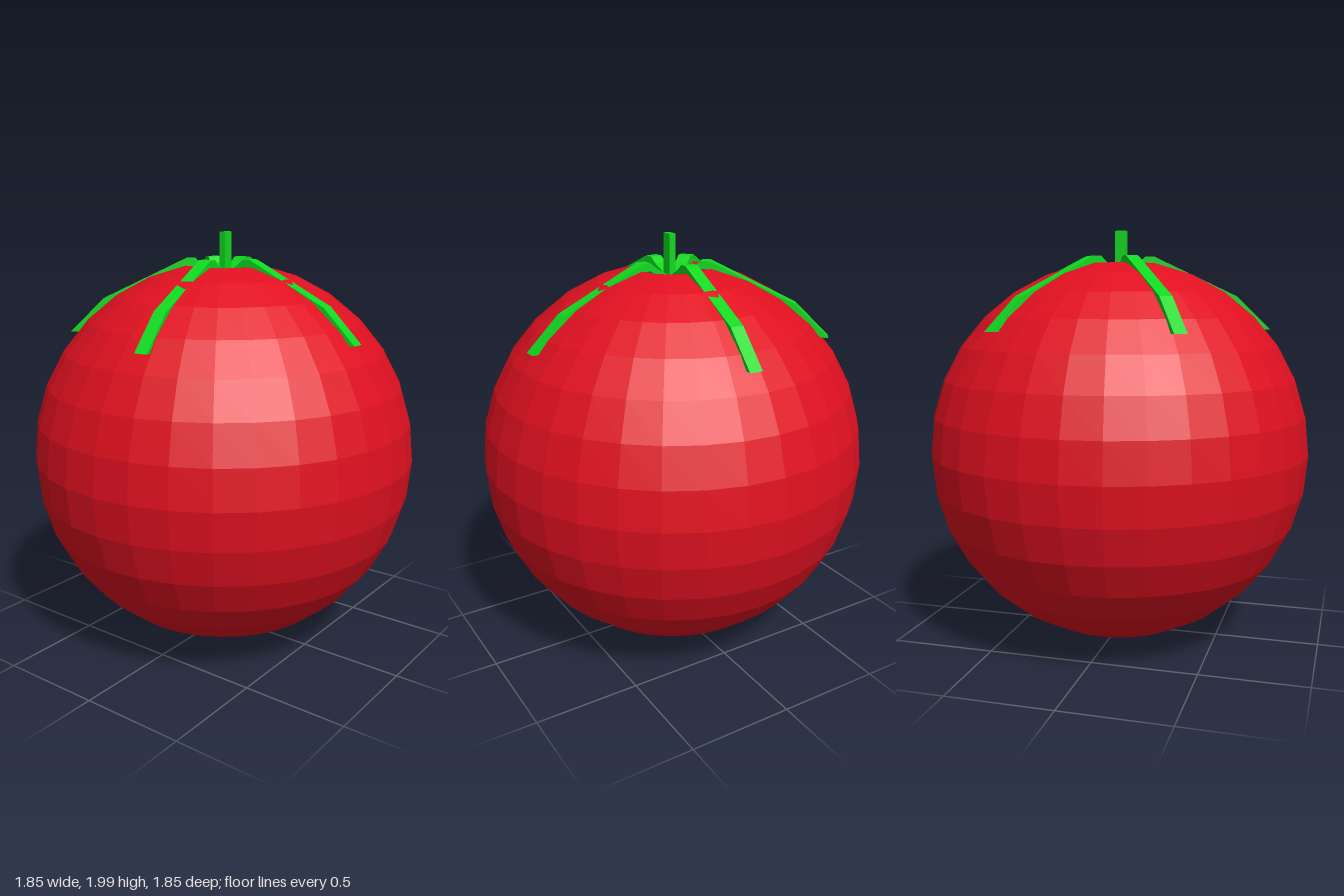
import * as THREE from 'three';

const RED = 0xe01020, GREEN = 0x10d820;
const RADIUS = 0.926, CENTRE_Y = 0.935;

function part(name, geometry, color) {
  const material = new THREE.MeshStandardMaterial({ color, flatShading: true });
  const mesh = new THREE.Mesh(geometry, material);
  mesh.name = name;
  return mesh;
}

// Faceted ball whose top pole is pushed down into a shallow pit
function fruitGeometry() {
  const geometry = new THREE.SphereGeometry(RADIUS, 32, 16).translate(0, CENTRE_Y, 0);
  const pos = geometry.attributes.position;
  for (let i = 0; i < pos.count; i++) {
    if (pos.getY(i) > CENTRE_Y + RADIUS * 0.99) pos.setY(i, 1.765);
  }
  return geometry;
}

// Side profile of a leaf strip (distance from axis, height), extruded to its width
function leafGeometry() {
  const top = [[0, 1.795], [0.1, 1.85], [0.13, 1.876], [0.17, 1.876], [0.57, 1.686], [0.73, 1.53]];
  const under = [[0.69, 1.53], [0.55, 1.66], [0.17, 1.84], [0.13, 1.84], [0.1, 1.815], [0, 1.76]];
  const outline = [...top, ...under].map(([r, y]) => new THREE.Vector2(r, y));
  const width = 0.062;
  return new THREE.ExtrudeGeometry(new THREE.Shape(outline), { depth: width, bevelEnabled: false })
    .translate(0, 0, -width / 2);
}

export function createModel() {
  const model = new THREE.Group();
  model.name = 'tomato';
  model.add(part('fruit', fruitGeometry(), RED));

  // Five leaves spread unevenly around the stem
  const calyx = new THREE.Group();
  calyx.name = 'calyx';
  const leaf = leafGeometry();
  for (const degrees of [0, 86.5, 143, 216, 279]) {
    const mesh = part('leaf', leaf, GREEN);
    mesh.rotation.y = THREE.MathUtils.degToRad(degrees);
    mesh.position.x = degrees === 0 ? 0 : -0.01;
    calyx.add(mesh);
  }
  model.add(calyx);

  // Short upright stem rising from the pit
  const stem = part('stem', new THREE.BoxGeometry(0.032, 0.24, 0.054), GREEN);
  stem.position.set(0.012, 1.88, 0.003);
  model.add(stem);

  return model;
}
